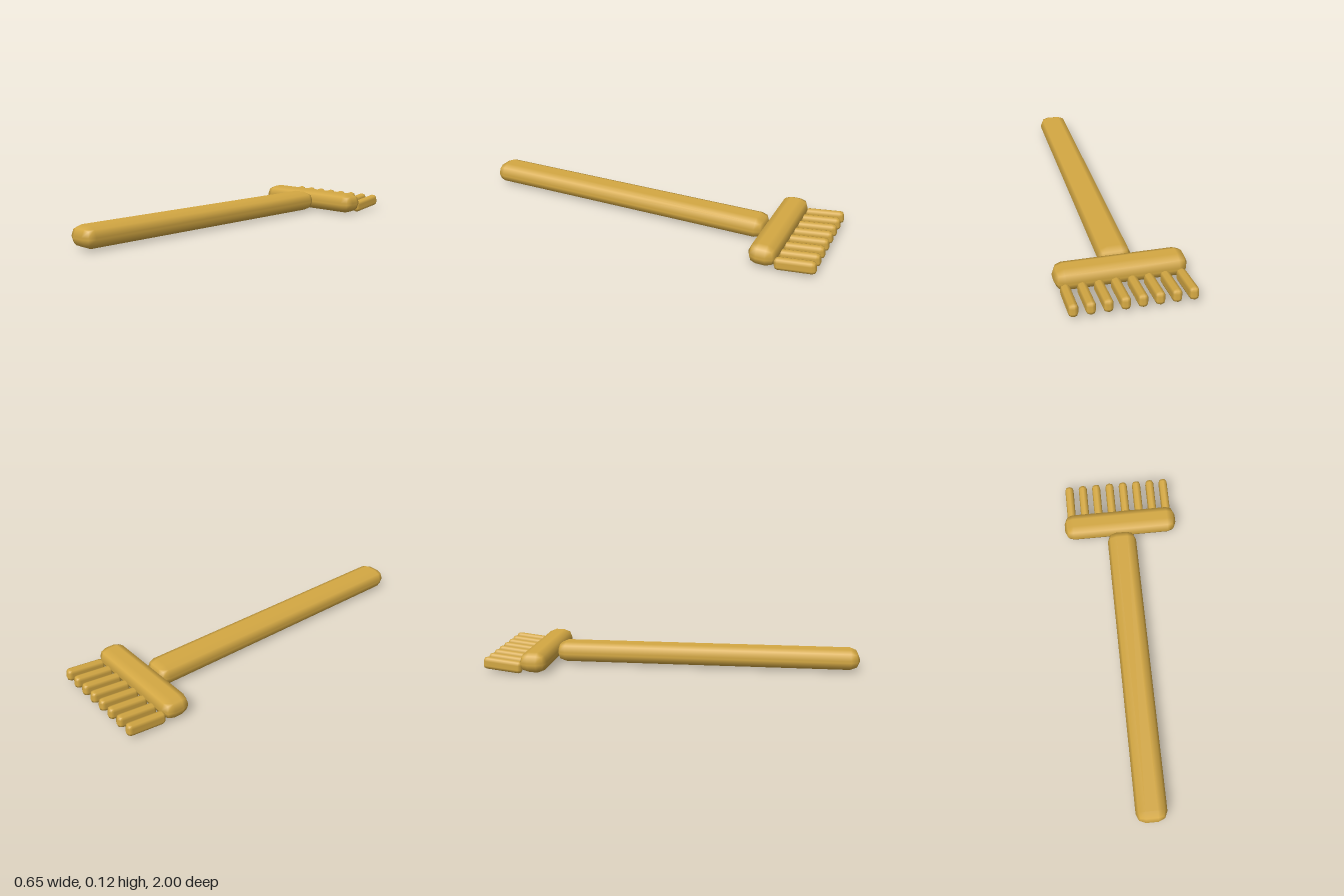
import * as THREE from 'three';
import { RoundedBoxGeometry } from 'three/addons/geometries/RoundedBoxGeometry.js';

export function createModel() {
  const model = new THREE.Group();
  model.name = 'handRake';

  const golden = new THREE.MeshStandardMaterial({ color: 0xd4a843 });
  golden.name = 'golden';

  const addBar = (name, w, h, d, radius, x, y, z) => {
    const mesh = new THREE.Mesh(new RoundedBoxGeometry(w, h, d, 1, radius), golden);
    mesh.name = name;
    mesh.position.set(x, y, z);
    model.add(mesh);
    return mesh;
  };

  // Long handle and the crossbar at its far end
  addBar('handle', 0.164, 0.11, 1.66, 0.05, 0, 0.067, 0.17);
  addBar('crossbar', 0.648, 0.11, 0.146, 0.05, 0, 0.067, -0.726);

  // Row of tines, tilted up towards their tips
  for (let i = 0; i < 8; i++) {
    const tine = addBar('tine' + (i + 1), 0.048, 0.066, 0.212, 0.021, (i - 3.5) * 0.08, 0.049, -0.891);
    tine.rotation.x = 0.12;
  }

  return model;
}
